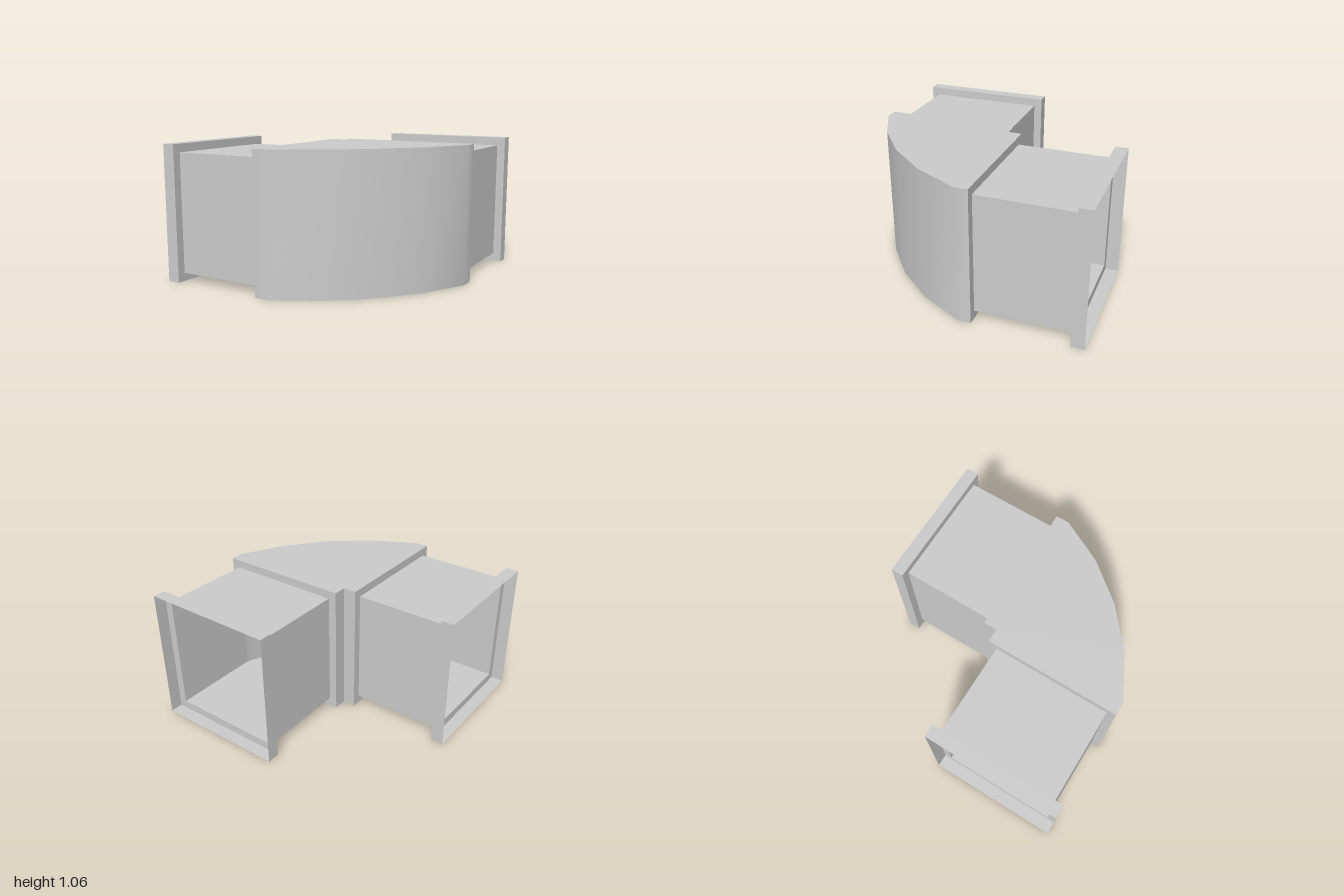
import * as THREE from 'three';
import { toCreasedNormals } from 'three/addons/utils/BufferGeometryUtils.js';

const H = 1.06;          // height of flanges and elbow
const OUTER = 0.53;      // half width of flanges and elbow
const INNER = 0.465;     // half width of ducts

const material = new THREE.MeshStandardMaterial({ color: 0xcccccc, side: THREE.DoubleSide });

function part(name, geometry) {
  const mesh = new THREE.Mesh(toCreasedNormals(geometry, 0.6), material);
  mesh.name = name;
  return mesh;
}

// Open square sleeve along +z from [half width, z] pairs
function squareSleeve(name, profile) {
  const points = profile.map(([half, z]) => new THREE.Vector2(half * Math.SQRT2, z));
  const geometry = new THREE.LatheGeometry(points, 4);
  geometry.rotateY(Math.PI / 4).rotateX(Math.PI / 2);
  return part(name, geometry);
}

// Upright sheet following [x, z] points
function wall(name, path) {
  const n = path.length;
  const geometry = new THREE.PlaneGeometry(1, 1, n - 1, 1);
  const pos = geometry.attributes.position;
  for (let i = 0; i < pos.count; i++) {
    const [x, z] = path[i % n];
    pos.setXYZ(i, x, i < n ? H : 0, z);
  }
  return part(name, geometry);
}

// One duct arm with open flange, starting at its mouth
function arm(name) {
  const group = new THREE.Group();
  group.name = name;
  group.add(
    squareSleeve('flange', [[OUTER, 0], [OUTER, 0.1], [INNER, 0.1]]),
    squareSleeve('duct', [[INNER, 0.1], [INNER, 0.835]]),
    squareSleeve('elbowCollar', [[INNER, 0.835], [OUTER, 0.835]])
  );
  return group;
}

export function createModel() {
  const model = new THREE.Group();
  model.name = 'ductElbow';

  // Two arms at right angles
  const backArm = arm('backArm');
  backArm.position.set(0.47, H / 2, -1);
  const sideArm = arm('sideArm');
  sideArm.position.set(-1, H / 2, 0.47);
  sideArm.rotation.y = Math.PI / 2;
  model.add(backArm, sideArm);

  // Hollow elbow: curved outside wall, notched inside wall
  const outside = [[-0.165, 1], [-0.06, 1], [0.28, 0.825], [0.58, 0.58], [0.825, 0.28], [1, -0.06], [1, -0.165]];
  const inside = [[-0.06, -0.165], [-0.06, -0.06], [-0.165, -0.06]];
  const elbow = new THREE.Group();
  elbow.name = 'elbow';
  elbow.add(wall('outsideWall', outside), wall('insideWall', inside));

  // Elbow top and bottom sheets
  const outline = [...outside, ...inside];
  const sheet = (sign) => {
    const shape = new THREE.Shape(outline.map(([x, z]) => new THREE.Vector2(x, -sign * z)));
    return new THREE.ShapeGeometry(shape).rotateX(-sign * Math.PI / 2);
  };
  const top = part('elbowTop', sheet(1));
  top.position.y = H;
  elbow.add(top, part('elbowBottom', sheet(-1)));
  model.add(elbow);

  return model;
}
